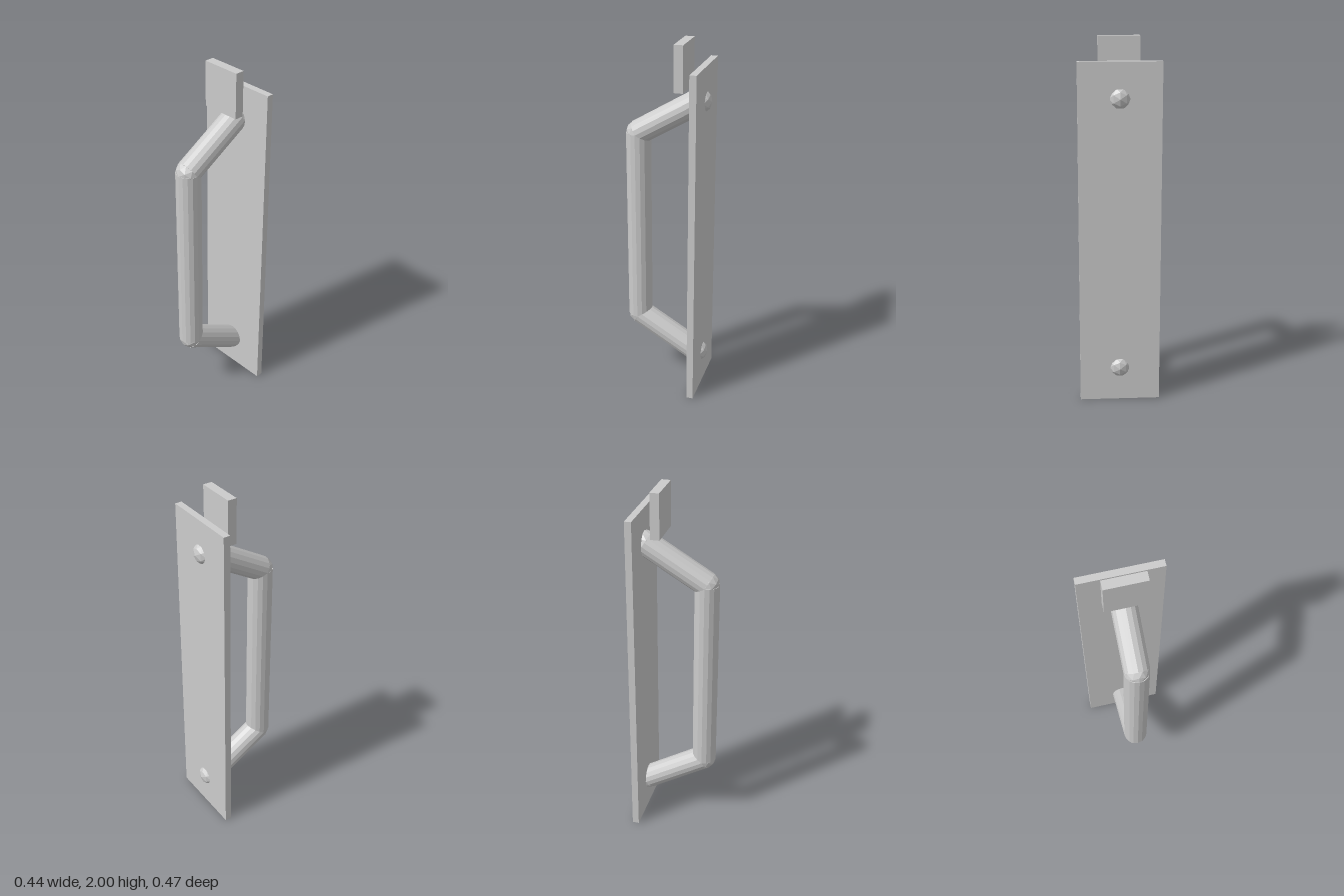
import * as THREE from 'three';

const material = new THREE.MeshStandardMaterial({ color: 0xcccccc, flatShading: true });
const RADIUS = 0.068;

function addMesh(parent, name, geometry, position) {
  const mesh = new THREE.Mesh(geometry, material);
  mesh.name = name;
  mesh.position.copy(position);
  parent.add(mesh);
  return mesh;
}

// Straight round bar between two points
function addBar(parent, name, a, b) {
  const direction = b.clone().sub(a);
  const geometry = new THREE.CylinderGeometry(RADIUS, RADIUS, direction.length(), 16);
  geometry.rotateY(Math.PI / 2);
  const bar = addMesh(parent, name, geometry, a.clone().add(b).multiplyScalar(0.5));
  bar.quaternion.setFromUnitVectors(new THREE.Vector3(0, 1, 0), direction.normalize());
}

export function createModel() {
  const model = new THREE.Group();
  model.name = 'doorPull';

  // Flat mounting plate
  addMesh(model, 'backPlate', new THREE.BoxGeometry(0.44, 1.88, 0.037),
    new THREE.Vector3(0, 0.94, -0.189));

  // Small block standing in front of the plate's top edge
  addMesh(model, 'topBlock', new THREE.BoxGeometry(0.22, 0.248, 0.05),
    new THREE.Vector3(0, 1.876, -0.083));

  // Bent handle: lower arm, grip and upper arm, with a faceted ball at each joint
  const handle = new THREE.Group();
  handle.name = 'handle';
  model.add(handle);
  const points = [[0.19, -0.167], [0.39, 0.169], [1.49, 0.169], [1.69, -0.167]]
    .map(([y, z]) => new THREE.Vector3(0, y, z));
  ['lowerArm', 'grip', 'upperArm'].forEach((name, i) => addBar(handle, name, points[i], points[i + 1]));
  ['lowerStud', 'lowerElbow', 'upperElbow', 'upperStud'].forEach((name, i) =>
    addMesh(handle, name, new THREE.IcosahedronGeometry(RADIUS, 1), points[i]));

  return model;
}
